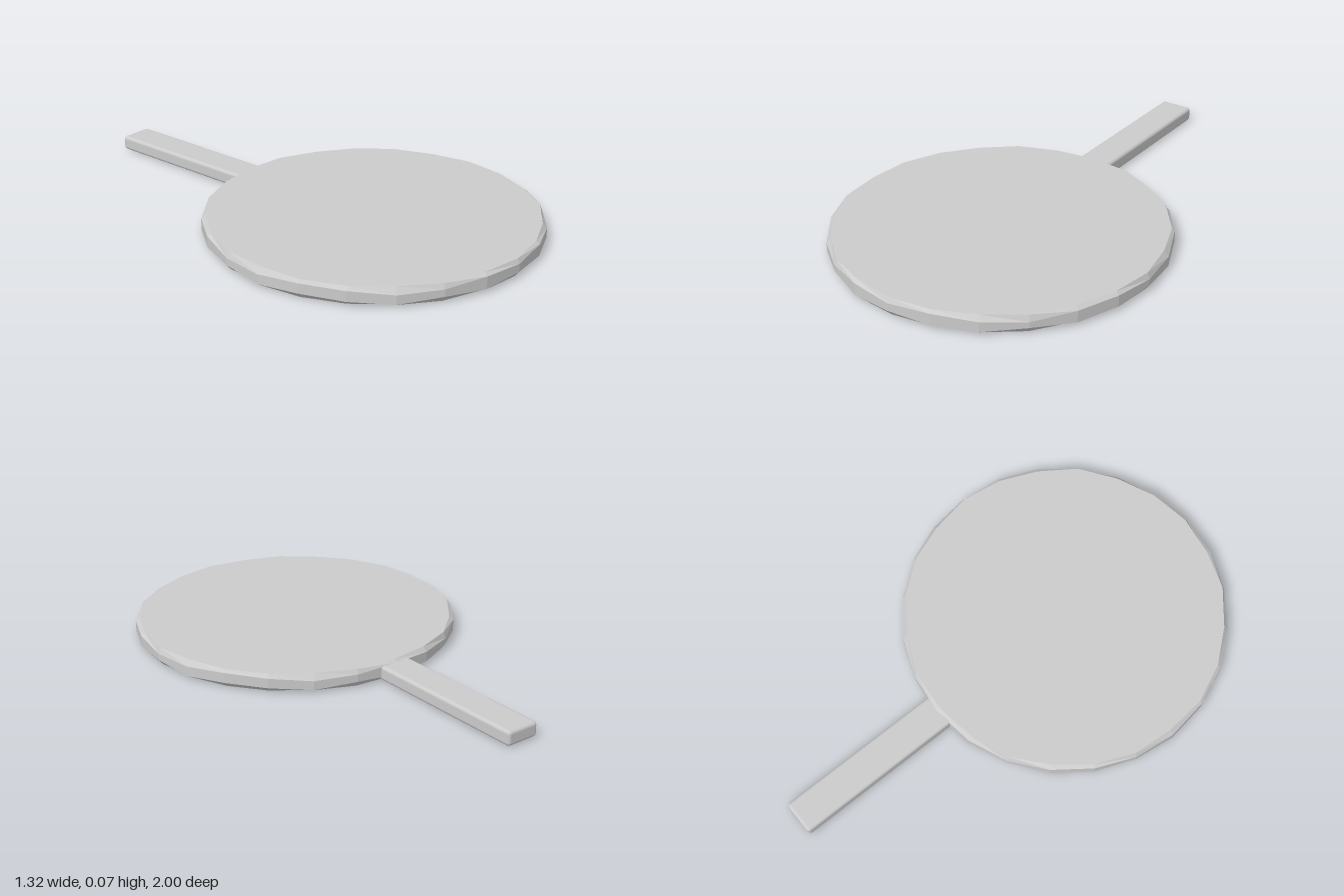
import * as THREE from 'three';
import { RoundedBoxGeometry } from 'three/addons/geometries/RoundedBoxGeometry.js';

const SIDES = 24;
const RADIUS = 0.66;
const THICKNESS = 0.073;
const CENTRE_Z = 0.34;

// Low-poly disc with a slightly uneven, hand-worn bevel around its rim
function discGeometry() {
  const profile = [
    [0, 0], [RADIUS - 0.022, 0], [RADIUS, 0.017],
    [RADIUS, 0.055], [RADIUS - 0.014, THICKNESS], [0, THICKNESS],
  ].map(([r, y]) => new THREE.Vector2(r, y));
  const geometry = new THREE.LatheGeometry(profile, SIDES);
  const pos = geometry.attributes.position;
  for (let i = 0; i < pos.count; i++) {
    const ring = i % profile.length;
    const side = Math.floor(i / profile.length) % SIDES;
    const wave = Math.sin(side * 2.3 + 1);
    // Bevel edges wander up and down; the flat faces stay level
    if (ring === 2) pos.setY(i, 0.017 + 0.007 * wave);
    if (ring === 3) pos.setY(i, 0.055 + 0.008 * Math.sin(side * 1.7));
    // The flat faces' outlines wander in and out
    if (ring === 1 || ring === 4) {
      const k = 1 + 0.007 * wave;
      pos.setX(i, pos.getX(i) * k);
      pos.setZ(i, pos.getZ(i) * k);
    }
  }
  return geometry;
}

export function createModel() {
  const group = new THREE.Group();

  const disc = new THREE.Mesh(
    discGeometry(),
    new THREE.MeshStandardMaterial({ color: 0xcccccc, flatShading: true })
  );
  disc.name = 'disc';
  disc.position.z = CENTRE_Z;
  group.add(disc);

  // Straight bar handle, its front end buried in the disc
  const back = -1, front = -0.29;
  const handle = new THREE.Mesh(
    new RoundedBoxGeometry(0.14, 0.06, front - back, 2, 0.014),
    new THREE.MeshStandardMaterial({ color: 0xcccccc })
  );
  handle.name = 'handle';
  handle.position.set(-0.002, 0.033, (front + back) / 2);
  group.add(handle);

  return group;
}
